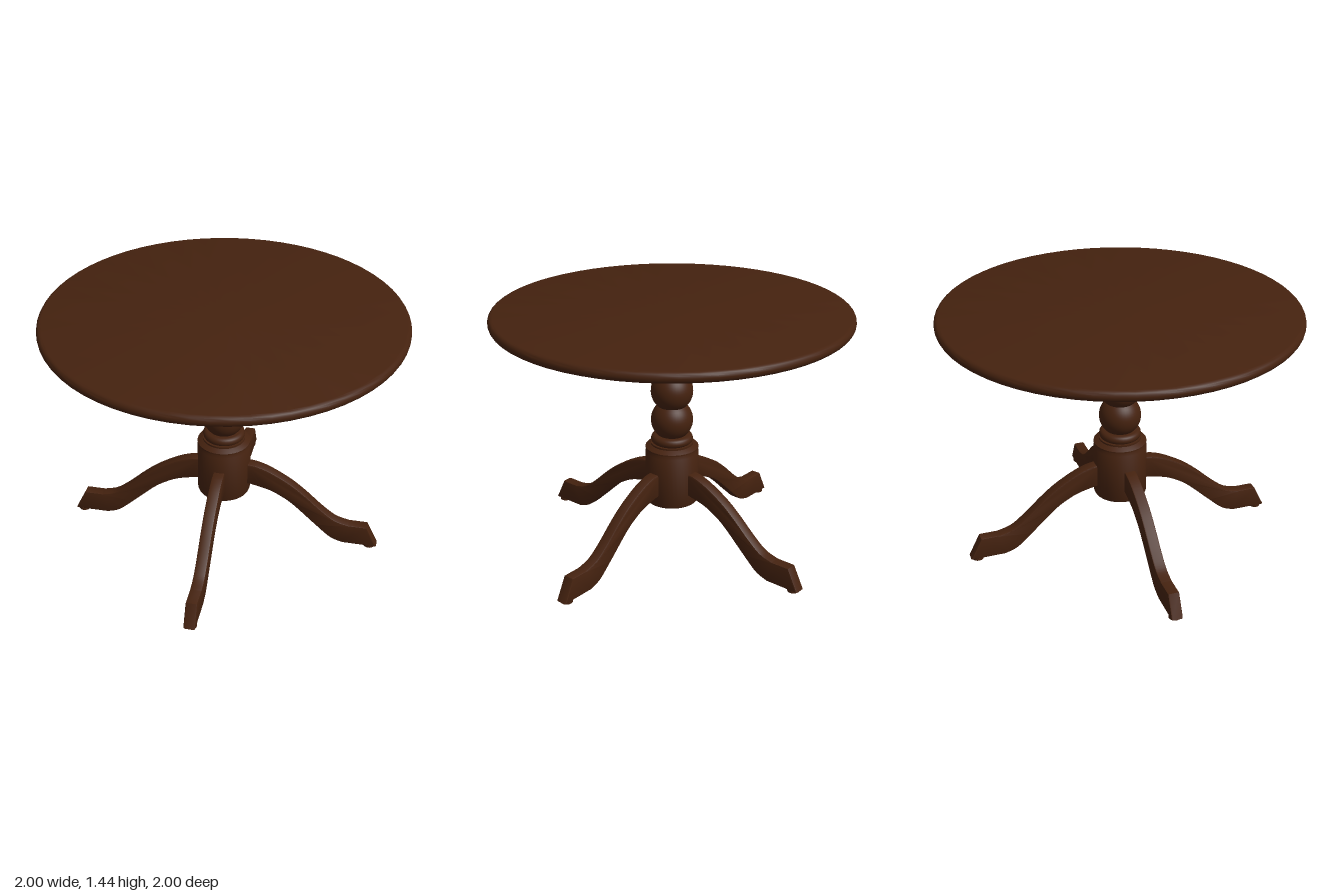
import * as THREE from 'three';
import { toCreasedNormals } from 'three/addons/utils/BufferGeometryUtils.js';

const wood = new THREE.MeshStandardMaterial({ color: 0x45220f });
wood.name = 'dark walnut';

const v2 = (points) => points.map(([x, y]) => new THREE.Vector2(x, y));

function add(parent, name, geometry) {
  const mesh = new THREE.Mesh(geometry, wood);
  mesh.name = name;
  parent.add(mesh);
  return mesh;
}

// Turned part from [radius, height] pairs, bottom to top
function turned(points, segments, crease = 0.6) {
  return toCreasedNormals(new THREE.LatheGeometry(v2(points), segments), crease);
}

// Points of an arc bulging out from the axis
function bulge(r, y, rx, ry, from, to, n) {
  return Array.from({ length: n + 1 }, (_, i) => {
    const a = from + ((to - from) * i) / n;
    return [r + rx * Math.cos(a), y + ry * Math.sin(a)];
  });
}

// S-curved leg in side profile, running out along +x to a flat sloped foot
function legGeometry() {
  const width = 0.066, bevel = 0.008;
  const s = new THREE.Shape();
  s.moveTo(0.08, 0.36);
  s.lineTo(0.16, 0.36);
  s.splineThru(v2([[0.264, 0.335], [0.34, 0.3], [0.42, 0.245], [0.555, 0.12], [0.645, 0.042], [0.72, 0.013]]));
  s.lineTo(0.922, 0.013);
  s.lineTo(0.858, 0.142);
  s.lineTo(0.75, 0.142);
  s.splineThru(v2([[0.67, 0.166], [0.59, 0.225], [0.48, 0.325], [0.39, 0.395], [0.28, 0.458], [0.2, 0.488], [0.14, 0.496]]));
  s.lineTo(0.08, 0.496);
  s.closePath();
  const geometry = new THREE.ExtrudeGeometry(s, {
    depth: width - 2 * bevel, bevelEnabled: true, bevelThickness: bevel,
    bevelSize: bevel, bevelOffset: -bevel, bevelSegments: 2, curveSegments: 28,
  });
  geometry.translate(0, 0, bevel - width / 2);
  return toCreasedNormals(geometry, 0.6);
}

export function createModel() {
  const table = new THREE.Group();
  table.name = 'pedestalTable';

  // Round top with a softened rim
  add(table, 'tableTop', turned([
    [0, 1.38],
    ...bulge(0.975, 1.409, 0.025, 0.029, -Math.PI / 2, Math.PI / 2, 8),
    [0, 1.438],
  ], 64));

  // Mounting plate and its screws
  add(table, 'mountingPlate', new THREE.CylinderGeometry(0.308, 0.308, 0.036, 48).translate(0, 1.363, 0));
  for (let i = 0; i < 4; i++) {
    const a = Math.PI / 4 + (i * Math.PI) / 2;
    add(table, 'plateScrew', new THREE.CylinderGeometry(0.026, 0.016, 0.018, 12))
      .position.set(0.265 * Math.cos(a), 1.337, 0.265 * Math.sin(a));
  }

  // Turned column: hub, rings, two balls and a collar
  add(table, 'lowerHub', turned([
    [0, 0.288], [0.138, 0.288], [0.148, 0.294], [0.153, 0.305], [0.153, 0.598],
    [0.144, 0.612], [0.144, 0.617], [0.152, 0.621], [0.152, 0.629], [0.138, 0.637],
    [0.122, 0.645], [0.122, 0.655], [0, 0.655],
  ], 40));
  add(table, 'lowerRing', turned([
    [0, 0.65], ...bulge(0.098, 0.677, 0.022, 0.025, -Math.PI / 2, Math.PI / 2, 8), [0, 0.702],
  ], 40));
  for (const y of [0.79, 0.965]) {
    add(table, 'columnBall', new THREE.SphereGeometry(0.12, 40, 24)).position.y = y;
  }
  add(table, 'upperCollar', turned([
    [0, 1.058], [0.118, 1.058], [0.12, 1.09], [0.125, 1.108], [0.134, 1.12], [0.148, 1.127],
    [0.148, 1.14], [0.142, 1.148], [0.15, 1.152],
    ...bulge(0.15, 1.169, 0.015, 0.017, -Math.PI / 2, Math.PI / 2, 8),
    [0.153, 1.19], [0.153, 1.335], [0.147, 1.345], [0, 1.346],
  ], 40));

  // Four legs with foot pads
  const legShape = legGeometry();
  const padShape = new THREE.CylinderGeometry(0.033, 0.033, 0.016, 20);
  for (let i = 0; i < 4; i++) {
    const leg = new THREE.Group();
    leg.name = 'leg';
    add(leg, 'curvedLeg', legShape);
    add(leg, 'footPad', padShape).position.set(0.878, 0.008, 0);
    leg.rotation.y = -THREE.MathUtils.degToRad(52.8) + (i * Math.PI) / 2;
    leg.position.set(-0.006, 0, 0.006);
    table.add(leg);
  }
  return table;
}
